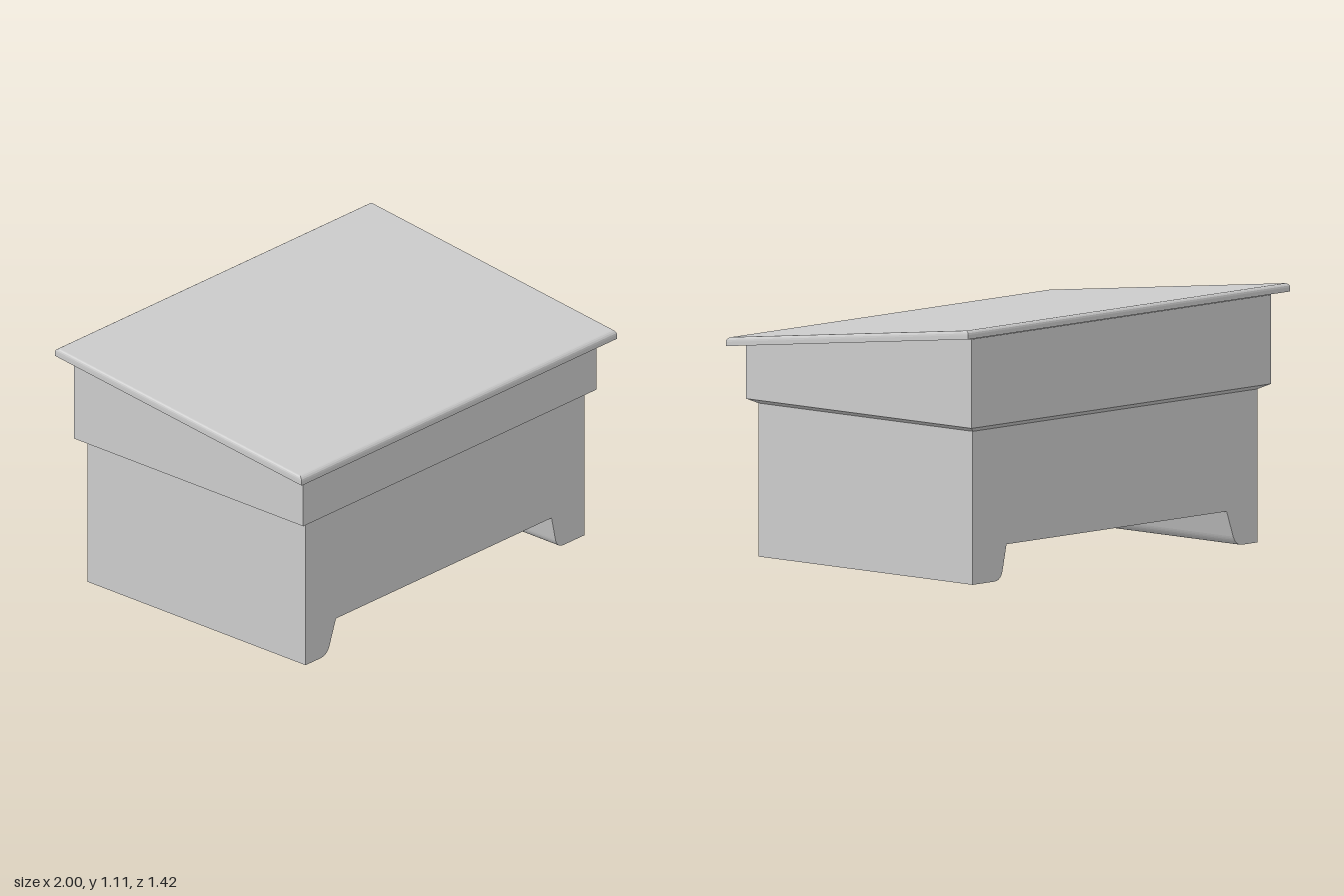
import * as THREE from 'three';

const material = new THREE.MeshStandardMaterial({
  color: 0xcccccc, flatShading: true, side: THREE.DoubleSide,
});

function addMesh(group, name, geometry) {
  const mesh = new THREE.Mesh(geometry, material);
  mesh.name = name;
  group.add(mesh);
}

// Closed stack of rectangular rings; each ring has x limits, z half-depth and a height rule y(z).
function loftRectangles(rings) {
  const positions = [];
  const index = [];
  for (const { x0, x1, z, y } of rings) {
    for (const [px, pz] of [[x0, z], [x1, z], [x1, -z], [x0, -z]]) positions.push(px, y(pz), pz);
  }
  const quad = (a, b, c, d) => index.push(a, b, c, a, c, d);
  for (let r = 0; r < rings.length - 1; r++) {
    for (let i = 0; i < 4; i++) {
      const a = r * 4 + i;
      const b = r * 4 + (i + 1) % 4;
      quad(a, b, b + 4, a + 4);
    }
  }
  const top = (rings.length - 1) * 4;
  quad(3, 2, 1, 0);
  quad(top, top + 1, top + 2, top + 3);
  const indexed = new THREE.BufferGeometry();
  indexed.setAttribute('position', new THREE.Float32BufferAttribute(positions, 3));
  indexed.setIndex(index);
  const geometry = indexed.toNonIndexed();
  geometry.computeVertexNormals();
  return geometry;
}

export function createModel() {
  const group = new THREE.Group();
  group.name = 'slopedDeskBox';

  // Lower chest: front outline with the arch between the feet, extruded through the depth
  const outline = new THREE.Shape();
  outline.moveTo(-0.885, 0.66);
  outline.lineTo(-0.885, 0);
  outline.lineTo(-0.79, 0);
  outline.bezierCurveTo(-0.755, 0, -0.742, 0.02, -0.733, 0.04);
  outline.lineTo(-0.692, 0.153);
  outline.lineTo(0.675, 0.153);
  outline.lineTo(0.699, 0.045);
  outline.bezierCurveTo(0.704, 0.02, 0.72, 0, 0.75, 0);
  outline.lineTo(0.885, 0);
  outline.lineTo(0.885, 0.66);
  const chest = new THREE.ExtrudeGeometry(outline, { depth: 1.254, bevelEnabled: false, curveSegments: 8 });
  chest.translate(0, 0, -0.627);
  addMesh(group, 'lowerChest', chest);

  // Upper case: chamfered underside and sloping top
  addMesh(group, 'upperCase', loftRectangles([
    { x0: -0.885, x1: 0.885, z: 0.627, y: () => 0.66 },
    { x0: -0.935, x1: 0.926, z: 0.659, y: () => 0.68 },
    { x0: -0.935, x1: 0.926, z: 0.659, y: (z) => 0.986 - z * 0.1175 },
  ]));

  // Lid: sloping slab with a rounded upper edge
  const lidLayers = [[0, 0], [0, 0.018], [0.002, 0.026], [0.007, 0.032], [0.014, 0.036], [0.021, 0.037]];
  addMesh(group, 'slopingLid', loftRectangles(lidLayers.map(([inset, height]) => ({
    x0: -1 + inset * 0.5,
    x1: 1 - inset * 0.5,
    z: 0.709 - inset,
    y: (z) => 0.992 - z * 0.1175 + height,
  }))));

  return group;
}
